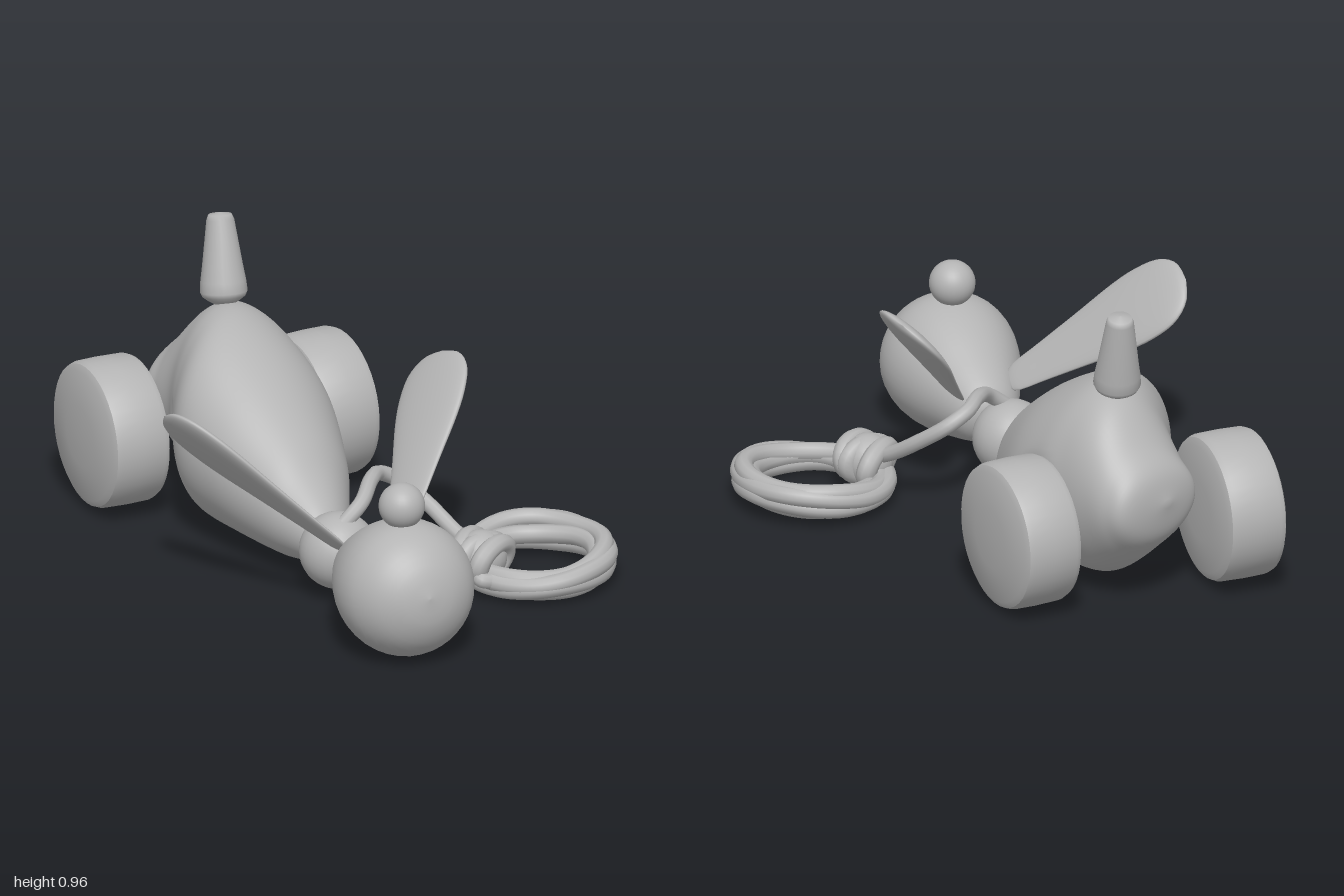
import * as THREE from 'three';
import { mergeVertices, toCreasedNormals } from 'three/addons/utils/BufferGeometryUtils.js';

const V = (a) => new THREE.Vector3(...a);

export function createModel() {
  const model = new THREE.Group();
  const grey = new THREE.MeshStandardMaterial({ color: 0xb4b4b4 });
  grey.name = 'grey';

  const add = (name, geometry, parent = model) => {
    const mesh = new THREE.Mesh(geometry, grey);
    mesh.name = name;
    parent.add(mesh);
    return mesh;
  };
  const profile = (pts, smooth = true) => {
    const p = pts.map(([r, h]) => new THREE.Vector2(r, h));
    if (!smooth) return p;
    return new THREE.SplineCurve(p).getPoints(pts.length * 3)
      .map((q) => new THREE.Vector2(Math.max(q.x, 0), q.y));
  };
  // Turned part whose axis starts at one point and aims along a direction
  const turned = (name, geometry, at, dir) => {
    const mesh = add(name, geometry);
    mesh.position.copy(V(at));
    mesh.quaternion.setFromUnitVectors(new THREE.Vector3(0, 1, 0), V(dir).normalize());
    return mesh;
  };
  const ball = (name, at, r) => add(name, new THREE.SphereGeometry(r, 28, 20)).position.set(...at);
  const cord = (name, pts, r, closed = false, parent = model) =>
    add(name, new THREE.TubeGeometry(new THREE.CatmullRomCurve3(pts, closed), closed ? 72 : 40, r, 10, closed), parent);

  // Wheels: centre and outward axis
  const wheels = [
    { name: 'leftWheel', at: [0.507, 0.25, -0.448], out: V([0.965, 0, 0.26]).normalize() },
    { name: 'rightWheel', at: [-0.135, 0.255, -0.755], out: V([-0.945, 0, -0.33]).normalize() },
  ];

  // Body: oval sections from neck to rump [z, left x, right x, bottom y, top y]
  const sections = [
    [0.25, -0.13, -0.13, 0.155, 0.155], [0.235, -0.195, -0.065, 0.09, 0.22],
    [0.2, -0.21, -0.015, 0.065, 0.265], [0.1, -0.222, 0.09, 0.04, 0.345],
    [0, -0.23, 0.185, 0.02, 0.43], [-0.2, -0.236, 0.325, 0.01, 0.57],
    [-0.38, -0.21, 0.38, 0.01, 0.665], [-0.5, -0.115, 0.387, 0.03, 0.685],
    [-0.6, -0.03, 0.388, 0.08, 0.645], [-0.7, 0.01, 0.38, 0.16, 0.54],
    [-0.77, 0.04, 0.34, 0.24, 0.46], [-0.798, 0.18, 0.18, 0.36, 0.36],
  ];
  const centres = new THREE.CatmullRomCurve3(
    sections.map(([z, l, r, b, t]) => new THREE.Vector3((l + r) / 2, (b + t) / 2, z)), false, 'catmullrom');
  const radii = new THREE.CatmullRomCurve3(
    sections.map(([, l, r, b, t]) => new THREE.Vector3((r - l) / 2, (t - b) / 2, 0)), false, 'catmullrom');
  const steps = 80;
  let body = new THREE.LatheGeometry(
    Array.from({ length: steps + 1 }, (_, i) => new THREE.Vector2(1, i / steps)), 72);
  const pos = body.attributes.position;
  for (let i = 0; i < pos.count; i++) {
    const t = Math.min(Math.max(pos.getY(i), 0), 1);
    const c = centres.getPoint(t), r = radii.getPoint(t);
    const p = new THREE.Vector3(c.x + r.x * pos.getX(i), c.y + r.y * pos.getZ(i), c.z);
    // Soft-edged flat recess beside each wheel
    for (const w of wheels) {
      const d = p.clone().sub(V(w.at));
      const a = d.dot(w.out);
      const radial = d.addScaledVector(w.out, -a).length();
      const depth = Math.max(0, a + 0.125) * (1 - THREE.MathUtils.smoothstep(radial, 0.22, 0.28));
      p.addScaledVector(w.out, -depth);
    }
    pos.setXYZ(i, p.x, p.y, p.z);
  }
  body.deleteAttribute('uv');
  body.deleteAttribute('normal');
  body = mergeVertices(body, 1e-5);
  body.computeVertexNormals();
  add('body', body);

  const wheelShape = toCreasedNormals(new THREE.LatheGeometry(profile([
    [0, -0.118], [0.1, -0.115], [0.21, -0.107], [0.233, -0.097], [0.241, -0.08], [0.243, 0],
    [0.241, 0.07], [0.234, 0.088], [0.215, 0.098], [0.1, 0.11], [0, 0.114]], false), 40), 0.6);
  for (const w of wheels) turned(w.name, wheelShape, w.at, w.out.toArray());

  // Upright tail peg
  turned('tail', new THREE.LatheGeometry(profile([
    [0.025, 0], [0.05, 0.015], [0.07, 0.03], [0.077, 0.045], [0.074, 0.08], [0.066, 0.13],
    [0.045, 0.28], [0.038, 0.297], [0, 0.304]], false), 24), [0.172, 0.662, -0.545], [0.035, 0.3, -0.055]);

  // Head, nose and neck bead
  turned('head', new THREE.LatheGeometry(profile([
    [0, 0], [0.09, 0.017], [0.165, 0.065], [0.21, 0.135], [0.223, 0.205], [0.215, 0.28],
    [0.191, 0.36], [0.158, 0.44], [0.127, 0.51], [0.096, 0.565], [0.05, 0.597], [0, 0.603]]), 40),
  [-0.432, 0.258, 0.98], [0.226, -0.1, -0.55]);
  ball('nose', [-0.348, 0.498, 0.768], 0.075);
  ball('neck', [-0.165, 0.155, 0.3], 0.126);

  // Ears: flattened paddles widening to a round tip, twisted about their length
  const earShape = new THREE.LatheGeometry(profile([
    [0, -0.02], [0.048, 0], [0.072, 0.12], [0.102, 0.28], [0.13, 0.42],
    [0.139, 0.52], [0.126, 0.61], [0.077, 0.67], [0, 0.69]]), 28);
  const ear = (name, base, tip, twist) => {
    const along = V(tip).sub(V(base));
    const length = along.length();
    along.normalize();
    const across = new THREE.Vector3(0, 0, 1).addScaledVector(along, -along.z).normalize()
      .applyAxisAngle(along, twist);
    const normal = across.clone().cross(along);
    const mesh = add(name, earShape);
    mesh.position.copy(V(base));
    mesh.quaternion.setFromRotationMatrix(new THREE.Matrix4().makeBasis(across, along, normal));
    mesh.scale.set(1, length / 0.69, 0.19);
  };
  ear('leftEar', [-0.125, 0.255, 0.53], [0.335, 0.695, 0.28], -0.18);
  ear('rightEar', [-0.325, 0.265, 0.46], [-0.635, 0.665, -0.02], 0);

  // Pull cord from neck to knot
  cord('pullCord', [[-0.18, 0.25, 0.33], [-0.1, 0.31, 0.34], [0, 0.345, 0.285], [0.08, 0.335, 0.245],
    [0.15, 0.295, 0.265], [0.19, 0.23, 0.35], [0.205, 0.16, 0.46], [0.21, 0.12, 0.55]].map(V), 0.025);

  // Coiled loop: strands as [radius, height, centre x, centre z], rising to one side
  const coil = new THREE.Group();
  coil.name = 'cordCoil';
  model.add(coil);
  [[0.205, 0.042, 0.385, 0.645], [0.228, 0.055, 0.39, 0.642], [0.233, 0.08, 0.39, 0.64],
    [0.215, 0.092, 0.395, 0.635], [0.19, 0.068, 0.38, 0.655]].forEach(([r, y, cx, cz], k) => {
    const pts = Array.from({ length: 16 }, (_, i) => {
      const a = (i / 16) * Math.PI * 2;
      const wave = 0.006 * Math.sin(a * 3 + k * 1.7);
      return new THREE.Vector3(cx + (r + wave) * Math.cos(a),
        y * (1 + 0.25 * Math.cos(a)) + wave, cz + (r + 0.01) * Math.sin(a));
    });
    cord('coilStrand', pts, 0.031, true, coil);
  });

  // Knot: wraps around the coil with a short loose end
  const knot = new THREE.Group();
  knot.name = 'knot';
  knot.position.set(0.21, 0.105, 0.575);
  model.add(knot);
  add('knotCore', new THREE.SphereGeometry(0.085, 20, 14), knot);
  [[-0.045, 0.35], [0.005, -0.1], [0.05, 0.2]].forEach(([z, turn], k) => {
    const wrap = add('knotWrap', new THREE.TorusGeometry(0.066, 0.033, 10, 28), knot);
    wrap.position.z = z;
    wrap.rotation.set(0.25 * (k - 1), turn, 0);
    wrap.scale.set(1.15, 0.85, 1);
  });
  cord('looseEnd', [[0.2, 0.07, 0.6], [0.15, 0.08, 0.63], [0.125, 0.07, 0.66], [0.16, 0.06, 0.68]].map(V), 0.026);

  return model;
}
